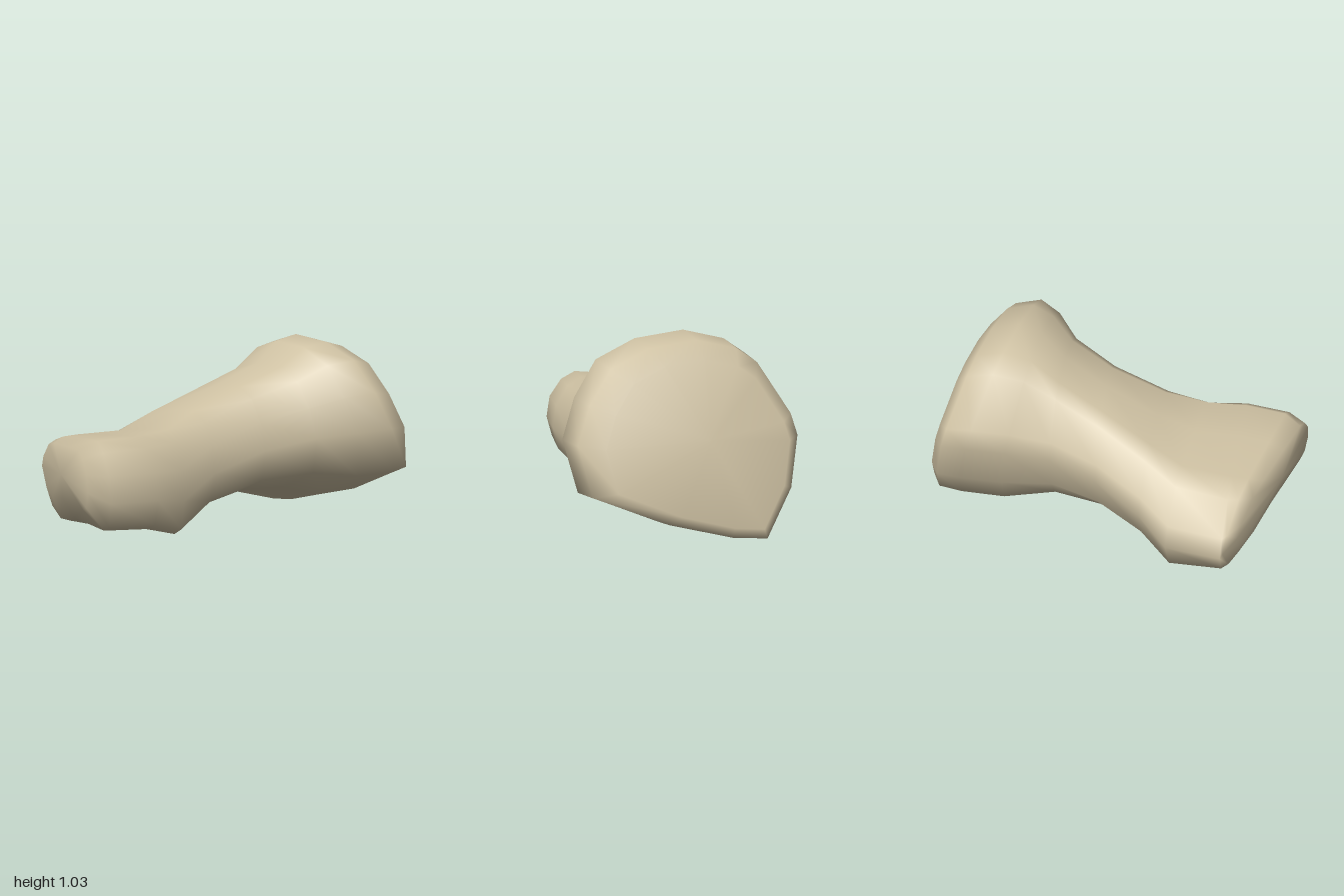
import * as THREE from 'three';

// Outlines of the two ends, fitted to a unit square, counter-clockwise seen from the front
const base = [[1, .52], [.93, .71], [.82, .88], [.64, .97], [.42, 1], [.24, .95], [.15, .875],
  [.02, .61], [0, .5], [.06, .24], [.2, 0], [.36, .02], [.64, .11], [.96, .27]];
const roller = [[1, .45], [.98, .7], [.91, .91], [.83, 1], [.59, .96], [.31, .9], [.18, .83],
  [.04, .57], [0, .39], [.1, .08], [.24, 0], [.47, .1], [.9, .15], [.97, .21]];

// Cross-sections from back to front:
// blend base > roller, z, slope of z with x, slope of z with y, x min, x max, y min, y max
const sections = [
  [0, -1.025, .12, .3, -.32, .56, .15, .92],
  [0, -.97, .12, .3, -.39, .67, .09, 1],
  [0, -.84, .12, .3, -.4, .697, .07, 1.03],
  [.05, -.6, .08, .2, -.375, .59, .065, 1],
  [.25, -.32, 0, .05, -.355, .44, .145, .89],
  [.45, -.05, 0, 0, -.415, .31, .155, .79],
  [.75, .23, .08, 0, -.53, .255, .11, .68],
  [1, .43, .15, 0, -.62, .28, 0, .605],
  [1, .65, .05, 0, -.7, .32, .075, .595],
  [1, .83, .3, 0, -.68, .275, .1, .59],
  [1, .92, .37, 0, -.62, .215, .23, .55],
];

function sectionPoints([t, z, sx, sy, x0, x1, y0, y1]) {
  return base.map(([u, v], j) => {
    const x = THREE.MathUtils.lerp(x0, x1, THREE.MathUtils.lerp(u, roller[j][0], t));
    const y = THREE.MathUtils.lerp(y0, y1, THREE.MathUtils.lerp(v, roller[j][1], t));
    return new THREE.Vector3(x, y, z + sx * x + sy * y);
  });
}

// Skin over the cross-sections, with a domed fan closing each end
function loft(rings) {
  const n = rings[0].length, points = rings.flat(), index = [];
  for (let i = 0; i < rings.length - 1; i++) {
    for (let j = 0; j < n; j++) {
      const a = i * n + j, b = i * n + (j + 1) % n;
      index.push(a, b, b + n, a, b + n, a + n);
    }
  }
  const last = (rings.length - 1) * n;
  const middle = (ring, dz) => {
    const c = new THREE.Vector3();
    ring.forEach((p) => c.addScaledVector(p, 1 / n));
    c.z += dz;
    return points.push(c) - 1;
  };
  const back = middle(rings[0], -.045), front = middle(rings[rings.length - 1], .025);
  for (let j = 0; j < n; j++) {
    const k = (j + 1) % n;
    index.push(back, k, j, front, last + j, last + k);
  }
  const geometry = new THREE.BufferGeometry().setFromPoints(points);
  geometry.setIndex(index);
  geometry.computeVertexNormals();
  return geometry;
}

export function createModel() {
  const group = new THREE.Group();
  group.name = 'toeBone';
  const bone = new THREE.MeshStandardMaterial({ color: 0xcdc0a2 });
  bone.name = 'bone';
  const body = new THREE.Mesh(loft(sections.map(sectionPoints)), bone);
  body.name = 'boneBody';
  group.add(body);
  return group;
}
